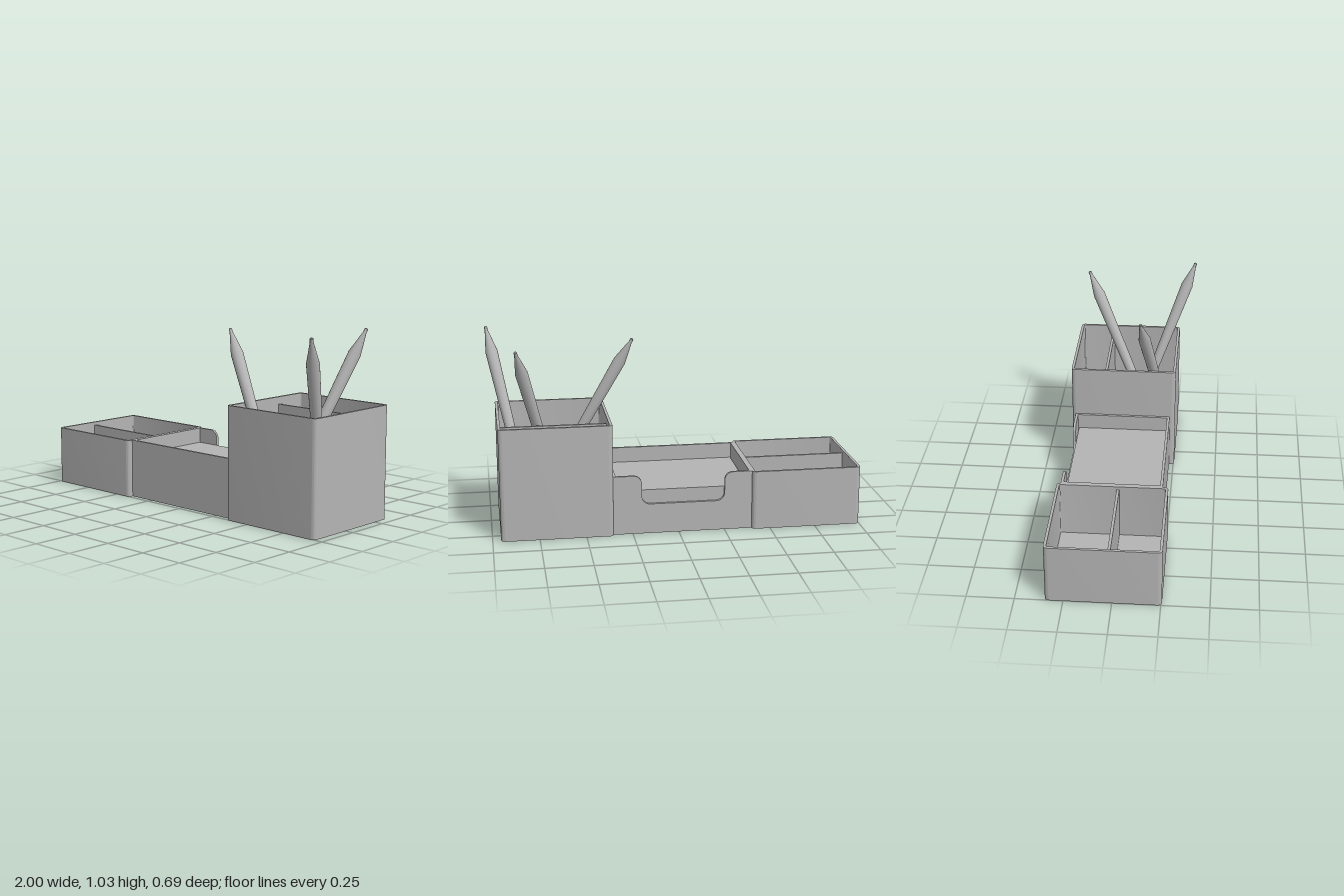
import * as THREE from 'three';
import { toCreasedNormals } from 'three/addons/utils/BufferGeometryUtils.js';

const grey = new THREE.MeshStandardMaterial({ color: 0xb4b4b4 });
grey.name = 'plain grey';
const WALL = 0.015;

function add(parent, name, geometry) {
  const mesh = new THREE.Mesh(geometry, grey);
  mesh.name = name;
  parent.add(mesh);
  return mesh;
}

// Box given by its minimum and maximum corners
function block(parent, name, [x0, y0, z0], [x1, y1, z1]) {
  const mesh = add(parent, name, new THREE.BoxGeometry(x1 - x0, y1 - y0, z1 - z0));
  mesh.position.set((x0 + x1) / 2, (y0 + y1) / 2, (z0 + z1) / 2);
}

// Rounded rectangle centred on the origin
function roundedRect(target, w, d, r) {
  const x = w / 2, y = d / 2;
  target.moveTo(-x + r, -y);
  target.lineTo(x - r, -y).absarc(x - r, -y + r, r, -Math.PI / 2, 0);
  target.lineTo(x, y - r).absarc(x - r, y - r, r, 0, Math.PI / 2);
  target.lineTo(-x + r, y).absarc(-x + r, y - r, r, Math.PI / 2, Math.PI);
  target.lineTo(-x, -y + r).absarc(-x + r, -y + r, r, Math.PI, Math.PI * 1.5);
  return target;
}

function extrudeUp(shape, height) {
  const g = new THREE.ExtrudeGeometry(shape, { depth: height, bevelEnabled: false, curveSegments: 6 });
  return toCreasedNormals(g.rotateX(-Math.PI / 2), 0.6);
}

// Open compartment box with a floor and one divider
function openBox(name, cx, cz, size, height, dividerZ, dividerTop) {
  const box = new THREE.Group();
  box.name = name;
  const rim = roundedRect(new THREE.Shape(), size, size, 0.022);
  const inner = size - 2 * WALL;
  rim.holes.push(roundedRect(new THREE.Path(), inner, inner, 0.008));
  add(box, 'walls', extrudeUp(rim, height)).position.set(cx, 0, cz);
  const floor = roundedRect(new THREE.Shape(), size - 0.002, size - 0.002, 0.021);
  add(box, 'floor', extrudeUp(floor, WALL)).position.set(cx, 0, cz);
  block(box, 'divider', [cx - inner / 2, WALL, dividerZ - WALL / 2],
    [cx + inner / 2, dividerTop, dividerZ + WALL / 2]);
  return box;
}

// Middle tray: low walls, finger notch in the back, and a stack of notes
function noteTray() {
  const tray = new THREE.Group();
  tray.name = 'noteTray';
  const x0 = -0.4, x1 = 0.355, z0 = -0.325, z1 = 0.225, h = 0.325;
  block(tray, 'floor', [x0, 0, z0 + WALL], [x1, WALL, z1 - WALL]);
  block(tray, 'frontWall', [x0, 0, z1 - WALL], [x1, h, z1]);
  block(tray, 'sideWall', [x0, WALL, z0 + WALL], [x0 + WALL, h, z1 - WALL]);
  block(tray, 'sideWall', [x1 - WALL, WALL, z0 + WALL], [x1, h, z1 - WALL]);

  const a = -0.25, b = 0.2, low = 0.165, r = 0.045;
  const s = new THREE.Shape();
  s.moveTo(x0, 0);
  s.lineTo(x1, 0).lineTo(x1, h).lineTo(b + r, h);
  s.absarc(b + r, h - r, r, Math.PI / 2, Math.PI, false);
  s.lineTo(b, low + r).absarc(b - r, low + r, r, 0, -Math.PI / 2, true);
  s.lineTo(a + r, low).absarc(a + r, low + r, r, -Math.PI / 2, -Math.PI, true);
  s.lineTo(a, h - r).absarc(a - r, h - r, r, 0, Math.PI / 2, false);
  s.lineTo(x0, h);
  const back = new THREE.ExtrudeGeometry(s, { depth: WALL, bevelEnabled: false, curveSegments: 8 });
  add(tray, 'backWall', toCreasedNormals(back, 0.6)).position.z = z0;

  block(tray, 'noteStack', [-0.382, WALL, -0.305], [0.337, 0.24, 0.207]);
  return tray;
}

// Pen turned on a lathe, standing from its foot to its writing tip
function pen(foot, tip) {
  const a = new THREE.Vector3(...foot), b = new THREE.Vector3(...tip);
  const len = a.distanceTo(b);
  const profile = [
    [0, 0], [0.017, 0], [0.022, 0.008], [0.034, len - 0.145],
    [0.009, len - 0.022], [0.009, len - 0.003], [0.006, len], [0, len],
  ].map(([r, y]) => new THREE.Vector2(r, y));
  const mesh = new THREE.Mesh(toCreasedNormals(new THREE.LatheGeometry(profile, 20), 0.4), grey);
  mesh.name = 'pen';
  mesh.position.copy(a);
  mesh.quaternion.setFromUnitVectors(new THREE.Vector3(0, 1, 0), b.sub(a).normalize());
  return mesh;
}

export function createModel() {
  const model = new THREE.Group();
  model.name = 'deskOrganizer';
  model.add(openBox('lowBox', -0.7, -0.045, 0.6, 0.325, -0.015, 0.307));
  model.add(noteTray());
  model.add(openBox('penBox', 0.655, -0.045, 0.6, 0.615, -0.15, 0.575));
  model.add(pen([0.7, 0.07, 0.21], [0.2, 0.99, 0.06]));
  model.add(pen([0.605, 0.03, 0.155], [0.85, 1.012, -0.283]));
  model.add(pen([0.785, 0.06, -0.015], [0.99, 1.025, 0.34]));
  return model;
}
